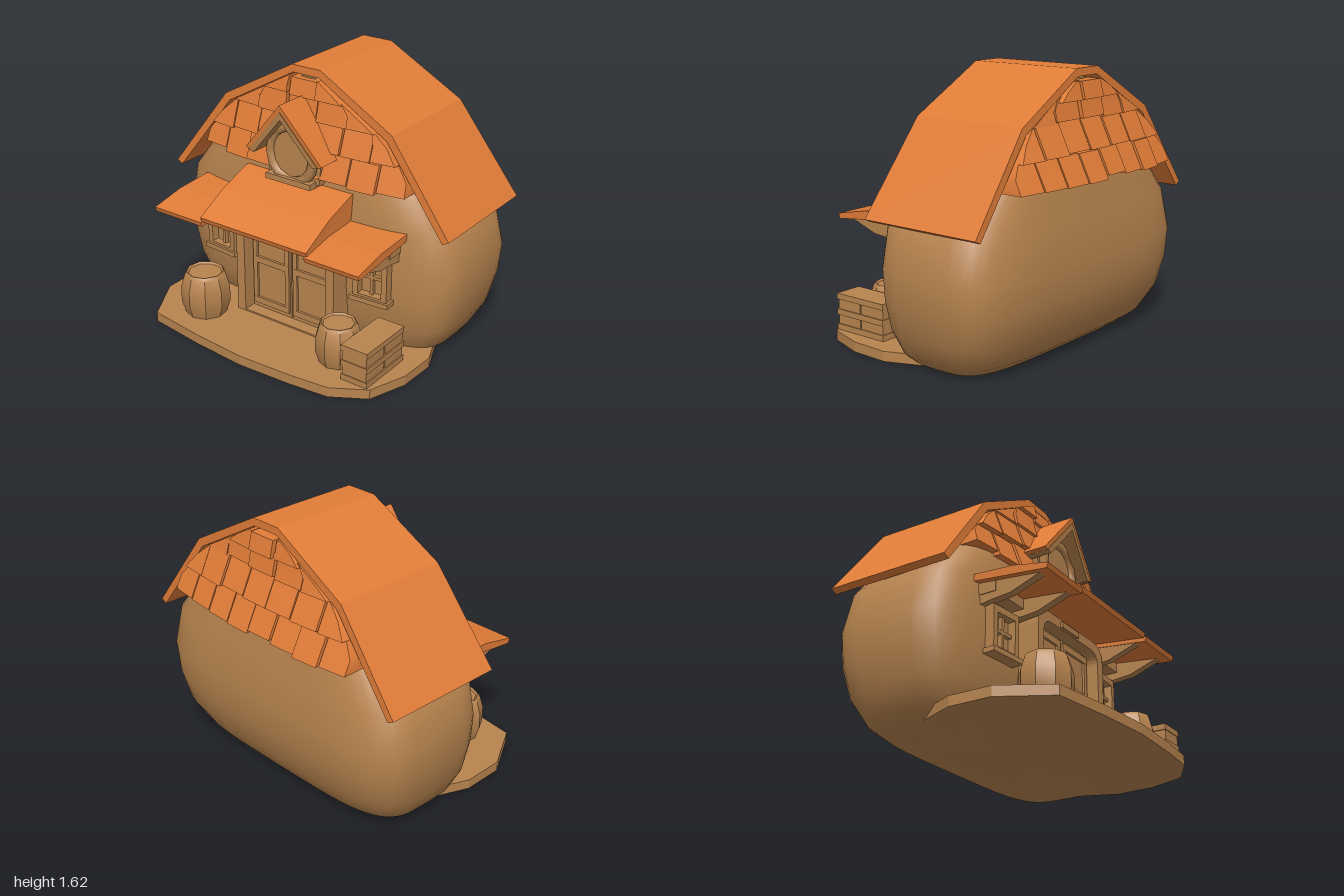
import * as THREE from 'three';
import { toCreasedNormals } from 'three/addons/utils/BufferGeometryUtils.js';

const roofMat = new THREE.MeshStandardMaterial({ color: 0xe07c38 });
roofMat.name = 'orange roof';
const wallMat = new THREE.MeshStandardMaterial({ color: 0xb8844f });
wallMat.name = 'tan wall';

let seed = 7;
const jitter = (a) => {
  seed = (seed * 16807) % 2147483647;
  return (seed / 2147483647 - 0.5) * 2 * a;
};

const toShape = (pts) => new THREE.Shape(pts.map(([x, y]) => new THREE.Vector2(x, y)));

// Extrude an outline in x,y between two z values
function slab(shape, z0, z1) {
  const geo = new THREE.ExtrudeGeometry(shape, { depth: z1 - z0, bevelEnabled: false, curveSegments: 6 });
  return geo.translate(0, 0, z0);
}

// Extrude a side outline of [z, y] points between two x values
function sideSlab(pts, x0, x1) {
  const geo = new THREE.ExtrudeGeometry(toShape(pts), { depth: x1 - x0, bevelEnabled: false });
  return geo.rotateY(-Math.PI / 2).translate(x1, 0, 0);
}

const box = (w, h, d, x, y, z) => new THREE.BoxGeometry(w, h, d).translate(x, y, z);

// Arch outline with rounded upper corners
function arch(target, w, y0, y1, r) {
  target.moveTo(-w, y0);
  target.lineTo(w, y0);
  target.lineTo(w, y1 - r);
  target.quadraticCurveTo(w, y1, w - r, y1 + 0.01);
  target.lineTo(-w + r, y1 + 0.01);
  target.quadraticCurveTo(-w, y1, -w, y1 - r);
  return target;
}

// Bulging house body from rounded cross-sections: y, half width, back z, front z
function bodyGeometry() {
  const rings = [
    [0, 0.001, -0.2, -0.199], [0, 0.8, -0.5, 0.1], [0.06, 0.87, -0.58, 0.14], [0.2, 0.945, -0.665, 0.18],
    [0.38, 0.985, -0.71, 0.2], [0.56, 1.0, -0.72, 0.2], [0.8, 0.95, -0.69, 0.19], [1.0, 0.79, -0.65, 0.17],
    [1.3, 0.55, -0.61, 0.12], [1.56, 0.09, -0.57, 0.08], [1.56, 0.001, -0.25, -0.249],
  ];
  const n = 40, pos = [], idx = [];
  const round = (v) => Math.sign(v) * Math.pow(Math.abs(v), 0.48);
  rings.forEach(([y, w, zb, zf], i) => {
    for (let j = 0; j < n; j++) {
      const a = (j / n) * Math.PI * 2;
      pos.push(w * round(Math.cos(a)), y, (zb + zf) / 2 + ((zf - zb) / 2) * round(Math.sin(a)));
      if (i < rings.length - 1) {
        const p = i * n + j, q = i * n + ((j + 1) % n);
        idx.push(p, p + n, q, q, p + n, q + n);
      }
    }
  });
  const geo = new THREE.BufferGeometry();
  geo.setAttribute('position', new THREE.Float32BufferAttribute(pos, 3));
  geo.setIndex(idx);
  return toCreasedNormals(geo, 0.9);
}

// Half width of the space under the main roof
const underRoof = (y) => (y < 1.31 ? 0.95 - (y - 0.81) * 0.78 : 0.56 - (y - 1.31) * 1.77);

// One gable shingle: a box bent to the flared gable surface
function shingle(x0, x1, y0, y1, side) {
  const geo = new THREE.BoxGeometry(1, 1, 1, 2, 2, 1);
  const p = geo.attributes.position;
  const out = jitter(0.012), drop = jitter(0.014);
  for (let i = 0; i < p.count; i++) {
    const y = y0 + drop + (p.getY(i) + 0.5) * (y1 - y0);
    const lim = Math.max(0.03, underRoof(y) - 0.01);
    const x = THREE.MathUtils.clamp(x0 + (p.getX(i) + 0.5) * (x1 - x0), -lim, lim);
    const flare = Math.max(0, 1.36 - y) * (side > 0 ? 0.2 : 0.34);
    const lip = (0.5 - p.getY(i)) * 0.025;
    const face = (side > 0 ? 0.13 : 0.63) + flare + lip + out - 0.1 * x * x;
    const inner = side > 0 ? 0.02 : 0.5;
    p.setXYZ(i, x, y, side * (p.getZ(i) * side > 0 ? face : inner));
  }
  geo.computeVertexNormals();
  return geo;
}

export function createModel() {
  const model = new THREE.Group();
  const add = (name, geo, mat = wallMat) => {
    const mesh = new THREE.Mesh(geo, mat);
    mesh.name = name;
    model.add(mesh);
    return mesh;
  };

  add('houseBody', bodyGeometry());

  // Porch slab
  const plan = [[-0.89, 0.12], [-0.885, 0.38], [-0.72, 0.67], [-0.35, 0.72], [0, 0.75], [0.35, 0.735], [0.6, 0.71],
    [0.8, 0.59], [0.88, 0.36], [0.89, 0.12], [0.78, -0.15], [0.6, -0.4], [-0.6, -0.4], [-0.78, -0.15]];
  const porch = slab(toShape(plan.map(([x, z]) => [x, -z])), 0, 0.06).rotateX(-Math.PI / 2);
  add('porchSlab', porch);

  // Main two-pitch roof, ends drawn in slightly toward the ridge
  const outer = [[0.99, 0.83], [0.59, 1.35], [0.1, 1.62]];
  const inner = [[0.09, 1.575], [0.56, 1.31], [0.95, 0.81]];
  const flip = (pts) => pts.map(([x, y]) => [-x, y]).reverse();
  const roof = slab(toShape([...outer, ...flip(outer), ...flip(inner), ...inner]), -0.5, 0.5);
  const rp = roof.attributes.position;
  for (let i = 0; i < rp.count; i++) {
    const t = (rp.getY(i) - 0.81) / 0.81;
    rp.setZ(i, rp.getZ(i) > 0 ? 0.14 - 0.04 * t : -0.64 + 0.025 * t);
  }
  roof.computeVertexNormals();
  add('mainRoof', roof, roofMat);

  // Gable shingles, front and back
  const rows = [[1.02, 1.18, 0.72, 8], [1.18, 1.35, 0.68, 7], [1.34, 1.47, 0.52, 5], [1.46, 1.56, 0.28, 3]];
  for (const side of [1, -1]) {
    for (const [y0, y1, w, count] of rows) {
      const step = (2 * w) / count;
      for (let i = 0; i < count; i++) {
        const x = -w + i * step;
        add('gableShingle', shingle(x + 0.004, x + step - 0.004, y0, y1, side), roofMat);
      }
    }
  }

  // Dormer with round window
  const chevron = (w, yTop, yLow, t) =>
    toShape([[w, yLow], [0, yTop], [-w, yLow], [-w + t, yLow - 0.01], [0, yTop - t * 1.4], [w - t, yLow - 0.01]]);
  const dormer = slab(chevron(0.27, 1.465, 1.15, 0.03), 0.05, 0.335);
  const trim = slab(chevron(0.245, 1.425, 1.14, 0.035), 0.05, 0.34);
  for (const geo of [dormer, trim]) {
    const p = geo.attributes.position;
    for (let i = 0; i < p.count; i++) if (p.getZ(i) > 0.2) p.setZ(i, p.getZ(i) + (p.getY(i) - 1.32) * 0.09);
    geo.computeVertexNormals();
  }
  add('dormerRoof', dormer, roofMat);
  add('dormerTrim', trim);
  add('dormerWall', slab(toShape([[-0.18, 0.98], [0.18, 0.98], [0.2, 1.18], [0, 1.4], [-0.2, 1.18]]), 0.05, 0.22));
  const ring = new THREE.TorusGeometry(0.155, 0.032, 5, 14).scale(1, 1.08, 1).translate(0, 1.14, 0.235);
  add('roundWindowFrame', ring);
  add('roundWindowPane', new THREE.CylinderGeometry(0.14, 0.14, 0.1, 9).rotateX(Math.PI / 2).translate(0, 1.14, 0.19));
  add('dormerSill', box(0.32, 0.035, 0.16, 0, 0.985, 0.2));

  // Awning: raised middle with a lower wing on each side
  add('awningMiddle', sideSlab([[0.1, 0.8], [0.6, 0.745], [0.61, 0.775], [0.4, 0.89], [0.19, 0.965], [0.1, 0.98]],
    -0.38, 0.38), roofMat);
  for (const s of [-1, 1]) {
    const x0 = s > 0 ? 0.37 : -0.73, x1 = s > 0 ? 0.73 : -0.37;
    add('awningWing', sideSlab([[0.1, 0.775], [0.61, 0.72], [0.62, 0.75], [0.4, 0.795], [0.1, 0.815]], x0, x1), roofMat);
    // Brackets and lintel beneath
    for (const x of [0.4, 0.67]) {
      add('awningBracket', sideSlab([[0.1, 0.63], [0.24, 0.65], [0.36, 0.66], [0.57, 0.735], [0.1, 0.785]],
        s * x - 0.025, s * x + 0.025));
    }
    add('awningBeam', box(0.32, 0.06, 0.14, s * 0.54, 0.725, 0.2));
  }

  // Door frame and double doors
  const frame = arch(new THREE.Shape(), 0.36, 0.05, 0.73, 0.1);
  frame.holes.push(arch(new THREE.Path(), 0.3, 0.07, 0.67, 0.07));
  add('doorFrame', slab(frame, 0.1, 0.325));
  for (const s of [-1, 1]) {
    add('doorLeaf', box(0.292, 0.63, 0.14, s * 0.15, 0.37, 0.175));
    for (const y of [0.12, 0.4, 0.64]) add('doorRail', box(0.27, 0.04, 0.02, s * 0.15, y, 0.25));
    for (const x of [0.03, 0.27]) add('doorStile', box(0.03, 0.56, 0.018, s * x, 0.38, 0.25));
  }
  add('doorPlate', box(0.18, 0.035, 0.02, -0.03, 0.705, 0.33));

  // Square windows with crossed bars
  for (const s of [-1, 1]) {
    const win = new THREE.Group();
    win.name = 'squareWindow';
    const outline = toShape([[-0.11, -0.14], [0.11, -0.14], [0.11, 0.14], [-0.11, 0.14]]);
    outline.holes.push(toShape([[-0.075, -0.1], [-0.075, 0.1], [0.075, 0.1], [0.075, -0.1]]));
    const parts = [slab(outline, -0.1, 0.05), box(0.02, 0.2, 0.1, 0, 0, -0.025), box(0.15, 0.02, 0.1, 0, 0.01, -0.025),
      box(0.25, 0.03, 0.13, 0, -0.13, 0), box(0.16, 0.21, 0.08, 0, 0, -0.04)];
    for (const geo of parts) win.add(new THREE.Mesh(geo, wallMat));
    win.position.set(s * 0.548, 0.505, 0.195);
    win.rotation.y = s * 0.08;
    model.add(win);
  }

  // Barrels beside the door
  const barrel = (x, z, r, h) => {
    const pts = [[0, 0], [0.82, 0], [1, 0.3], [1, 0.65], [0.84, 0.94], [0.76, 1], [0.68, 0.96], [0, 0.96]];
    const geo = new THREE.LatheGeometry(pts.map(([a, b]) => new THREE.Vector2(a * r, b * h)), 9);
    add('barrel', toCreasedNormals(geo, 0.6).translate(x, 0.055, z));
  };
  barrel(-0.5, 0.46, 0.15, 0.28);
  barrel(0.48, 0.44, 0.135, 0.255);

  // Pair of crates with raised slats
  for (const z of [0.32, 0.505]) {
    add('crate', box(0.16, 0.22, 0.175, 0.695, 0.165, z));
    for (const y of [0.08, 0.17, 0.265]) add('crateSlat', box(0.175, 0.035, 0.185, 0.695, y, z));
  }
  return model;
}
